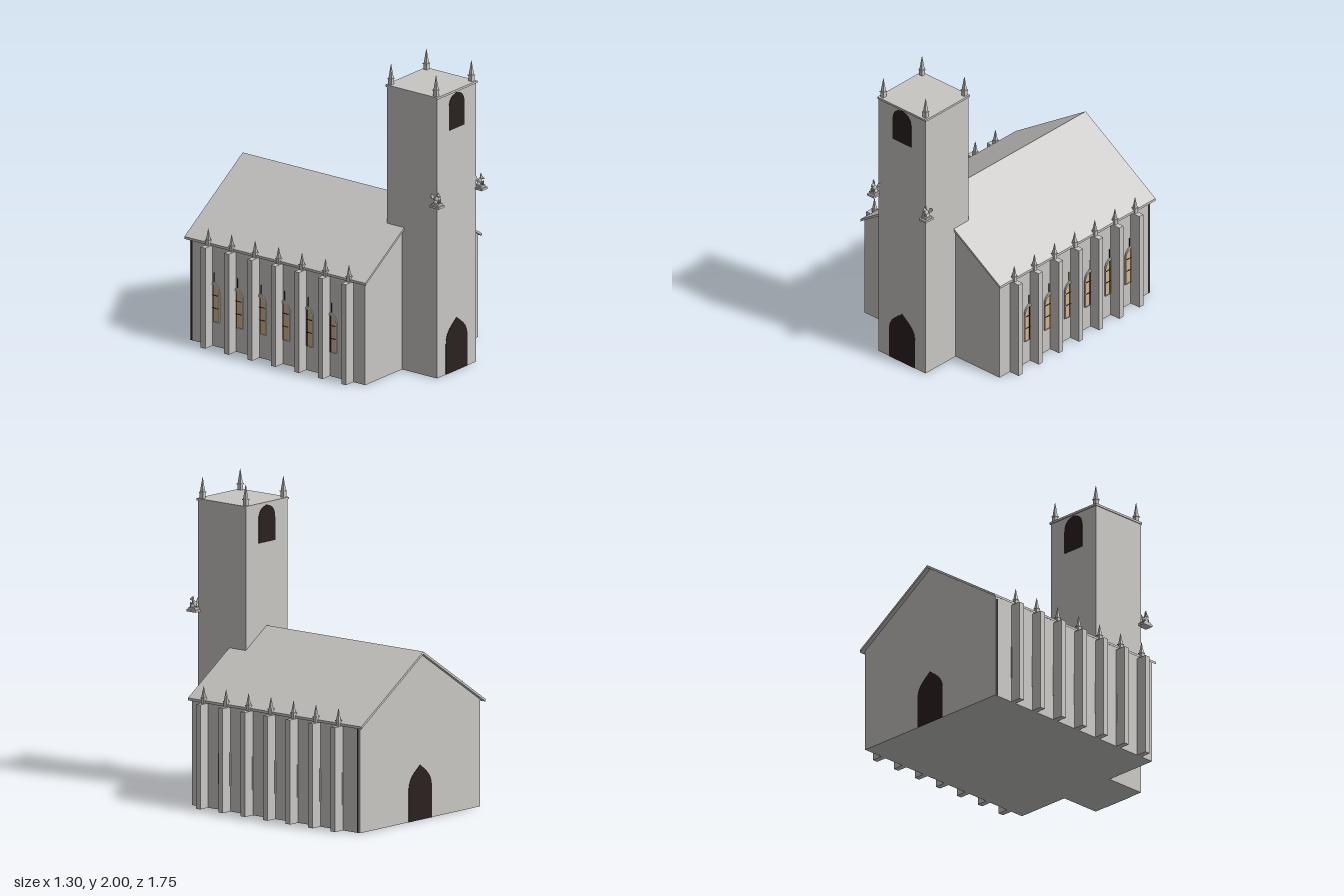
import * as THREE from 'three';

const mat = (name, color) => Object.assign(new THREE.MeshStandardMaterial({ color }), { name });

export function createModel() {
  const stone = mat('stone', 0xc8c6c3);
  const dark = mat('dark opening', 0x2b2020);
  const glass = mat('amber glass', 0xd6b48c);
  const model = new THREE.Group();
  model.name = 'church';

  const add = (parent, name, geo, material, x = 0, y = 0, z = 0) => {
    const mesh = new THREE.Mesh(geo, material);
    mesh.name = name;
    mesh.position.set(x, y, z);
    parent.add(mesh);
    return mesh;
  };
  const box = (parent, name, m, w, h, d, x, y, z) =>
    add(parent, name, new THREE.BoxGeometry(w, h, d), m, x, y, z);
  const polygon = (pts) => new THREE.Shape(pts.map((p) => new THREE.Vector2(...p)));
  const extrude = (shape, depth, curveSegments = 10) =>
    new THREE.ExtrudeGeometry(shape, { depth, bevelEnabled: false, curveSegments });

  // Arched outline: half width, springing height, crown height, bulge of the curve
  const arch = (w, spring, top, k) => {
    const s = new THREE.Shape();
    s.moveTo(-w, 0);
    s.lineTo(w, 0);
    s.lineTo(w, spring);
    s.bezierCurveTo(w, spring + (top - spring) * 0.55, w * k, top - (top - spring) * (1 - k) * 0.5, 0, top);
    s.bezierCurveTo(-w * k, top - (top - spring) * (1 - k) * 0.5, -w, spring + (top - spring) * 0.55, -w, spring);
    return s;
  };

  // Nave walls with gables
  const walls = polygon([[-0.575, 0], [0.575, 0], [0.575, 0.682], [0, 1.062], [-0.575, 0.682]]);
  add(model, 'naveWalls', extrude(walls, 1.39), stone, 0, 0, -0.845);

  // Pitched roof slab
  const roof = polygon([[-0.595, 0.685], [-0.595, 0.669], [0, 1.06], [0.595, 0.669], [0.595, 0.685], [0, 1.077]]);
  add(model, 'roof', extrude(roof, 1.435), stone, 0, 0, -0.873);

  // Tower and its cap
  box(model, 'tower', stone, 0.4, 1.852, 0.397, 0, 0.926, 0.6235);
  box(model, 'towerCap', stone, 0.412, 0.014, 0.409, 0, 1.859, 0.6235);

  // Square pinnacle: shaft, collar and spire
  const pinnacle = (name, x, y, z, w, shaft, height) => {
    const g = new THREE.Group();
    g.name = name;
    g.position.set(x, y, z);
    box(g, 'shaft', stone, w, shaft, w, 0, shaft / 2, 0);
    box(g, 'collar', stone, w * 1.25, 0.006, w * 1.25, 0, shaft, 0);
    const spireHeight = height - shaft;
    const spire = new THREE.CylinderGeometry(0.001, w * 0.66, spireHeight, 4).toNonIndexed();
    spire.computeVertexNormals();
    add(g, 'spire', spire, stone, 0, shaft + spireHeight / 2, 0).rotation.y = Math.PI / 4;
    model.add(g);
  };
  for (const x of [-0.18, 0.18])
    for (const z of [0.8, 0.443]) pinnacle('towerPinnacle', x, 1.866, z, 0.026, 0.038, 0.134);

  // Doors and belfry openings, front and back
  const door = extrude(arch(0.11, 0.2, 0.353, 0.45), 0.003);
  const belfry = extrude(arch(0.079, 0.145, 0.237, 0.75), 0.003);
  add(model, 'frontDoor', door, dark, 0, 0, 0.8215);
  add(model, 'backDoor', door, dark, 0, 0, -0.8475);
  add(model, 'frontBelfryOpening', belfry, dark, 0, 1.61, 0.8215);
  add(model, 'backBelfryOpening', belfry, dark, 0, 1.61, 0.4225);

  // Side window, built facing +z
  const pane = extrude(arch(0.043, 0.19, 0.248, 0.6), 0.002);
  const frameShape = arch(0.049, 0.195, 0.262, 0.6);
  frameShape.holes.push(new THREE.Path(arch(0.041, 0.19, 0.245, 0.6).getPoints(10)));
  const frame = extrude(frameShape, 0.008);
  const sideWindow = (side, z) => {
    const g = new THREE.Group();
    g.name = 'sideWindow';
    g.position.set(side * 0.575, 0.163, z);
    g.rotation.y = side * Math.PI / 2;
    add(g, 'pane', pane, glass);
    add(g, 'frame', frame, stone);
    box(g, 'mullion', dark, 0.004, 0.24, 0.004, 0, 0.12, 0.003);
    for (const y of [0.09, 0.175]) box(g, 'crossBar', dark, 0.082, 0.004, 0.004, 0, y, 0.003);
    box(g, 'finial', dark, 0.004, 0.062, 0.004, side * -0.006, 0.294, 0.003);
    model.add(g);
  };

  // Stone winged figure on a bracket at a front tower corner
  const ball = new THREE.SphereGeometry(1, 10, 8);
  const blob = (g, name, sx, sy, sz, x, y, z) => {
    const mesh = add(g, name, ball, stone, x, y, z);
    mesh.scale.set(sx, sy, sz);
    return mesh;
  };
  const wing = extrude(polygon([[0, 0], [0.012, 0.03], [0.026, 0.036], [0.036, 0.015],
    [0.026, 0.018], [0.023, 0.002], [0.014, 0.008], [0.01, -0.01]]), 0.004);
  const gargoyle = (side) => {
    const g = new THREE.Group();
    g.name = 'gargoyle';
    g.position.set(side * 0.22, 1.145, 0.838);
    box(g, 'bracket', stone, 0.058, 0.014, 0.074, 0, 0.007, 0);
    box(g, 'plinth', stone, 0.046, 0.014, 0.05, 0, 0.021, 0);
    blob(g, 'body', 0.014, 0.024, 0.016, 0, 0.05, -0.002).rotation.x = 0.3;
    blob(g, 'head', 0.01, 0.011, 0.013, 0, 0.079, 0.012);
    blob(g, 'snout', 0.006, 0.005, 0.009, 0, 0.075, 0.024);
    for (const s of [-1, 1]) {
      blob(g, 'haunch', 0.009, 0.012, 0.016, s * 0.014, 0.036, 0);
      blob(g, 'foreleg', 0.005, 0.017, 0.005, s * 0.008, 0.043, 0.02);
      add(g, 'horn', new THREE.ConeGeometry(0.004, 0.014, 5), stone, s * 0.006, 0.092, 0.008);
      const w = add(g, 'wing', wing, stone, s * 0.006, 0.056, -0.01);
      w.rotation.y = s > 0 ? 0.35 : Math.PI - 0.35;
    }
    model.add(g);
  };

  // Everything repeated along both sides
  for (const side of [-1, 1]) {
    for (let i = 0; i < 7; i++) {
      const z = 0.432 - i * 0.186;
      box(model, 'buttress', stone, 0.08, 0.667, 0.037, side * 0.609, 0.3335, z);
      pinnacle('buttressPinnacle', side * 0.595, 0.666, z, 0.024, 0.036, 0.112);
      if (i > 0) sideWindow(side, z + 0.027);
    }
    box(model, 'cornerJoint', dark, 0.004, 0.665, 0.01, side * 0.5755, 0.3345, -0.829);
    gargoyle(side);
  }
  return model;
}
